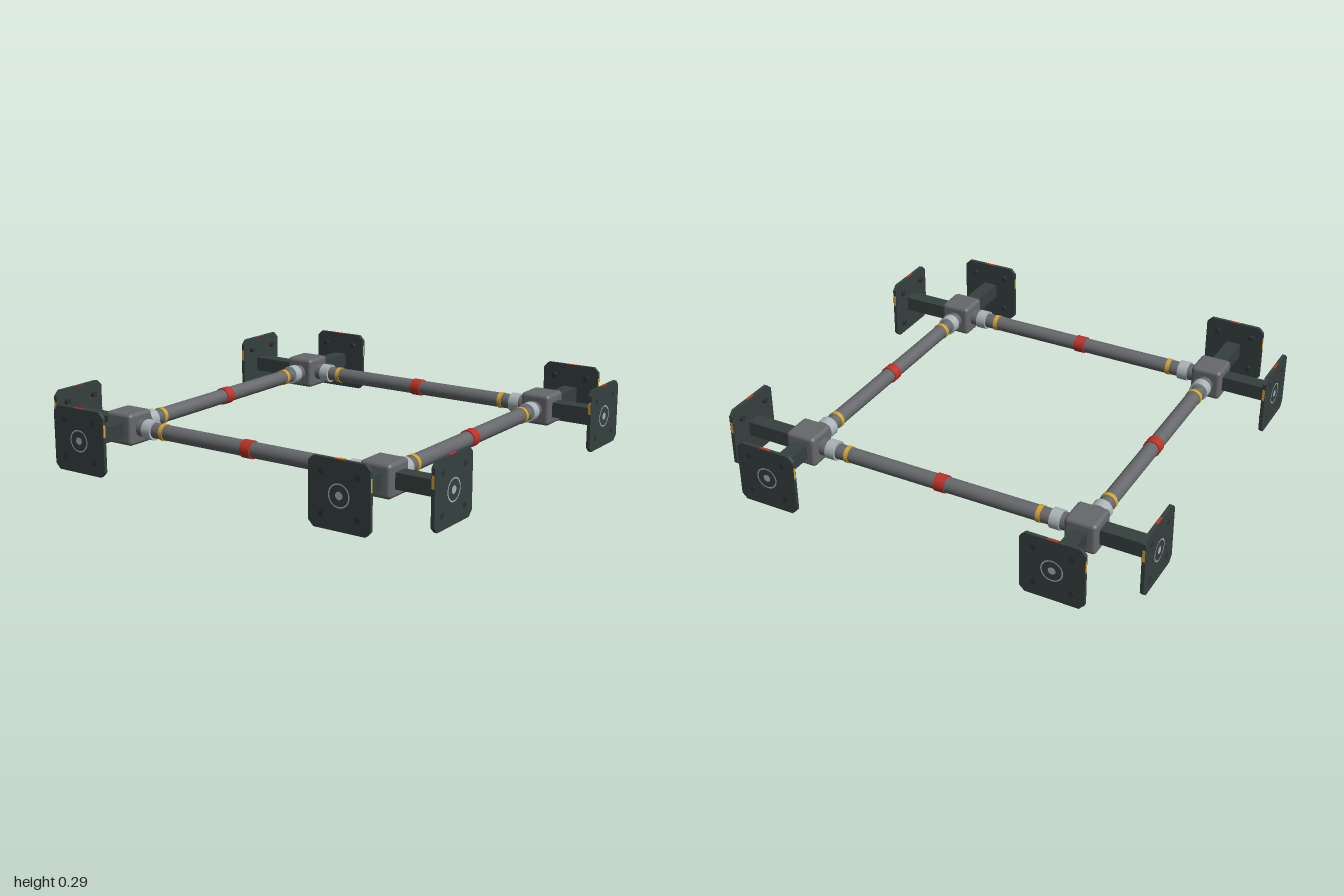
import * as THREE from 'three';
import { RoundedBoxGeometry } from 'three/addons/geometries/RoundedBoxGeometry.js';

const HUB = 0.68;     // hub distance from the centre lines
const MID = 0.144;    // height of the frame axis
const PLATE = 0.144;  // half size of an end plate

const material = (name, color) => {
  const m = new THREE.MeshStandardMaterial({ color });
  m.name = name;
  return m;
};

export function createModel() {
  const steel = material('pipe grey', 0x66686b);
  const dark = material('dark plate', 0x35403f);
  const bolt = material('bolt grey', 0x2b3232);
  const silver = material('silver', 0xaab3b8);
  const red = material('red', 0xbb3127);
  const yellow = material('yellow', 0xcfa437);

  const model = new THREE.Group();
  model.name = 'pipeFrame';

  const add = (parent, name, geometry, mat, x = 0, y = 0, z = 0) => {
    const mesh = new THREE.Mesh(geometry, mat);
    mesh.name = name;
    mesh.position.set(x, y, z);
    parent.add(mesh);
    return mesh;
  };
  // Cylinder lying along z
  const rod = (r, length, sides = 32) =>
    new THREE.CylinderGeometry(r, r, length, sides).rotateX(Math.PI / 2);

  // Square plate with cut corners and bolt holes filled by bolts
  const c = PLATE - 0.024;
  const outline = new THREE.Shape([
    [-c, -PLATE], [c, -PLATE], [PLATE, -c], [PLATE, c],
    [c, PLATE], [-c, PLATE], [-PLATE, c], [-PLATE, -c],
  ].map(([x, y]) => new THREE.Vector2(x, y)));
  const plateGeo = new THREE.ExtrudeGeometry(outline, { depth: 0.016, bevelEnabled: false });

  const pipeGeo = rod(0.035, 1.24);
  const collarGeo = rod(0.045, 0.048);
  const yellowGeo = rod(0.0385, 0.02);
  const redGeo = rod(0.04, 0.05);
  const socketGeo = rod(0.039, 0.05);
  const armGeo = new THREE.BoxGeometry(0.07, 0.07, 0.26);
  const boltGeo = rod(0.013, 0.032, 16);
  const ringGeo = new THREE.RingGeometry(0.044, 0.05, 40);
  const discGeo = new THREE.CircleGeometry(0.017, 24);
  const redMarkGeo = new THREE.BoxGeometry(0.05, 0.003, 0.012);
  const yellowMarkGeo = new THREE.BoxGeometry(0.003, 0.055, 0.012);
  const hubGeo = new RoundedBoxGeometry(0.146, 0.146, 0.146, 3, 0.018);

  // Square arm with its end plate, pointing along +z from a hub
  const buildArm = () => {
    const arm = new THREE.Group();
    arm.name = 'endArm';
    add(arm, 'armBeam', armGeo, dark, 0, 0, 0.18);
    add(arm, 'endPlate', plateGeo, dark, 0, 0, 0.303);
    add(arm, 'plateRing', ringGeo, silver, 0, 0, 0.3197);
    add(arm, 'plateCentre', discGeo, silver, 0, 0, 0.3197);
    add(arm, 'redEdgeMark', redMarkGeo, red, 0, PLATE - 0.001, 0.311);
    for (const s of [-1, 1]) {
      add(arm, 'yellowEdgeMark', yellowMarkGeo, yellow, s * (PLATE - 0.001), 0.063, 0.311);
      for (const t of [-1, 1]) add(arm, 'plateBolt', boltGeo, bolt, s * 0.085, t * 0.085, 0.3037);
    }
    return arm;
  };

  // Four pipes with centre band, stripes, collars and sockets
  for (let i = 0; i < 4; i++) {
    const side = new THREE.Group();
    side.name = 'pipeSide';
    side.rotation.y = i * Math.PI / 2;
    side.position.y = MID;
    add(side, 'pipe', pipeGeo, steel, HUB);
    add(side, 'centreBand', redGeo, red, HUB);
    for (const s of [-1, 1]) {
      add(side, 'yellowStripe', yellowGeo, yellow, HUB, 0, s * 0.47);
      add(side, 'collar', collarGeo, silver, HUB, 0, s * 0.549);
      add(side, 'hubSocket', socketGeo, steel, HUB, 0, s * 0.59);
    }
    model.add(side);
  }

  // Four corner hubs, each with two outward arms
  for (const sx of [-1, 1]) {
    for (const sz of [-1, 1]) {
      const corner = new THREE.Group();
      corner.name = 'corner';
      corner.position.set(sx * HUB, MID, sz * HUB);
      add(corner, 'hub', hubGeo, steel);
      const armZ = buildArm();
      armZ.rotation.y = sz > 0 ? 0 : Math.PI;
      const armX = buildArm();
      armX.rotation.y = sx * Math.PI / 2;
      corner.add(armZ, armX);
      model.add(corner);
    }
  }
  return model;
}
